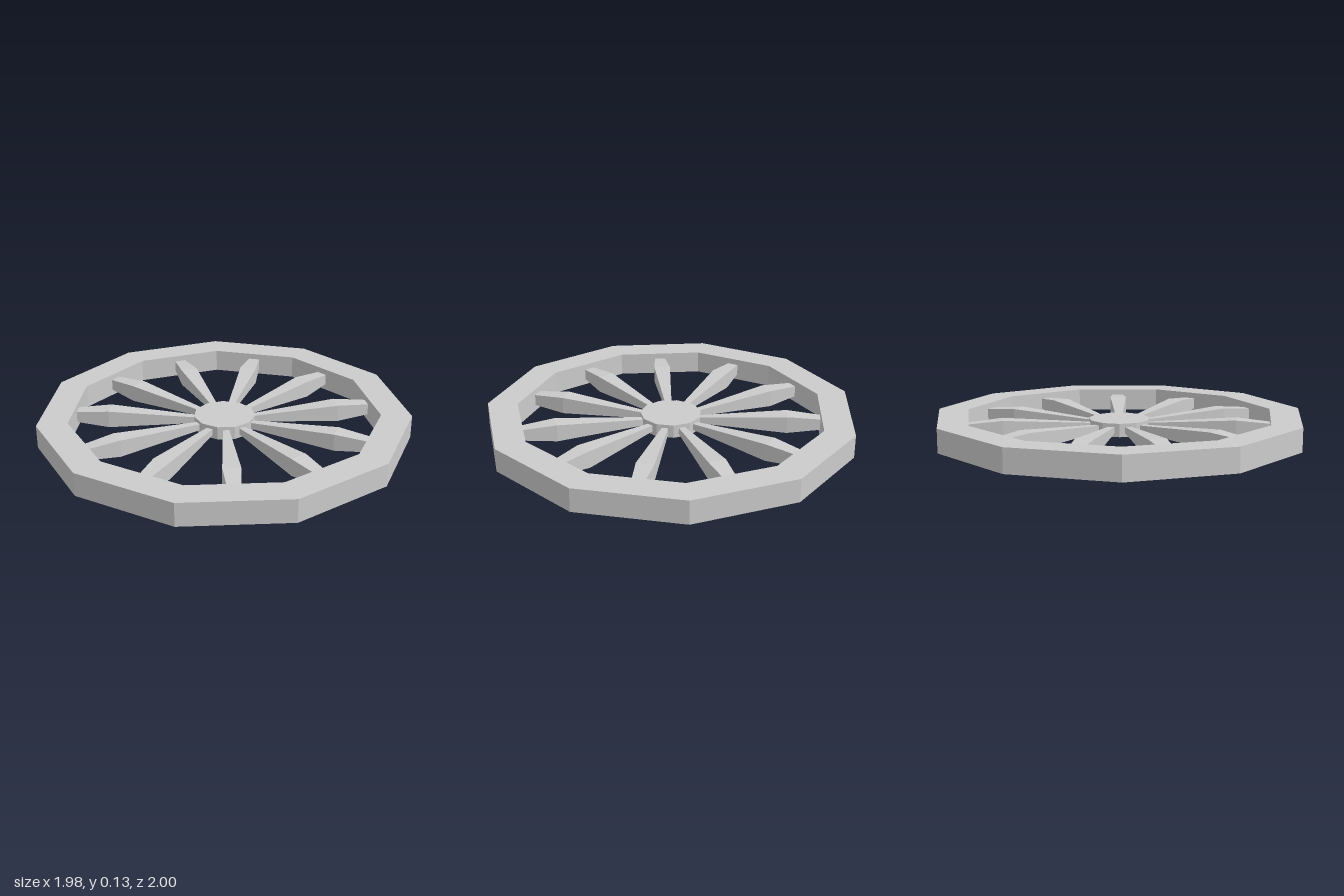
import * as THREE from 'three';

const SIDES = 11;
const HEIGHT = 0.127;
const STEP = (Math.PI * 2) / SIDES;

// corners of a regular polygon, first corner on +x
function polygon(radius) {
  return Array.from({ length: SIDES }, (_, i) =>
    new THREE.Vector2(Math.cos(i * STEP) * radius, Math.sin(i * STEP) * radius));
}

export function createModel() {
  const material = new THREE.MeshStandardMaterial({ color: 0xcccccc, flatShading: true });
  const wheel = new THREE.Group();
  wheel.name = 'wheel';

  // rim: polygon ring lying flat
  const ring = new THREE.Shape(polygon(1.01));
  ring.holes.push(new THREE.Path(polygon(0.845).reverse()));
  const rimGeometry = new THREE.ExtrudeGeometry(ring, { depth: HEIGHT, bevelEnabled: false });
  rimGeometry.rotateX(-Math.PI / 2);
  const rim = new THREE.Mesh(rimGeometry, material);
  rim.name = 'rim';
  wheel.add(rim);

  // hub: thinner disc at mid height
  const hub = new THREE.Mesh(
    new THREE.CylinderGeometry(0.167, 0.167, 0.072, SIDES, 1, false, Math.PI / 2), material);
  hub.name = 'hub';
  hub.position.y = HEIGHT / 2;
  wheel.add(hub);

  // spokes: square section, swelling towards the rim; [distance, half width]
  const profile = [[0.14, 0.016], [0.63, 0.047], [0.82, 0.03]]
    .map(([r, half]) => new THREE.Vector2(half * Math.SQRT2, r));
  const spokeGeometry = new THREE.LatheGeometry(profile, 4, Math.PI / 4);
  spokeGeometry.rotateZ(-Math.PI / 2);
  for (let i = 0; i < SIDES; i++) {
    const spoke = new THREE.Mesh(spokeGeometry, material);
    spoke.name = 'spoke' + (i + 1);
    spoke.position.y = HEIGHT / 2;
    spoke.rotation.y = (i + 0.5) * STEP;
    wheel.add(spoke);
  }

  // centre the odd-sided outline on x
  wheel.position.x = -0.02;
  const model = new THREE.Group();
  model.add(wheel);
  return model;
}
